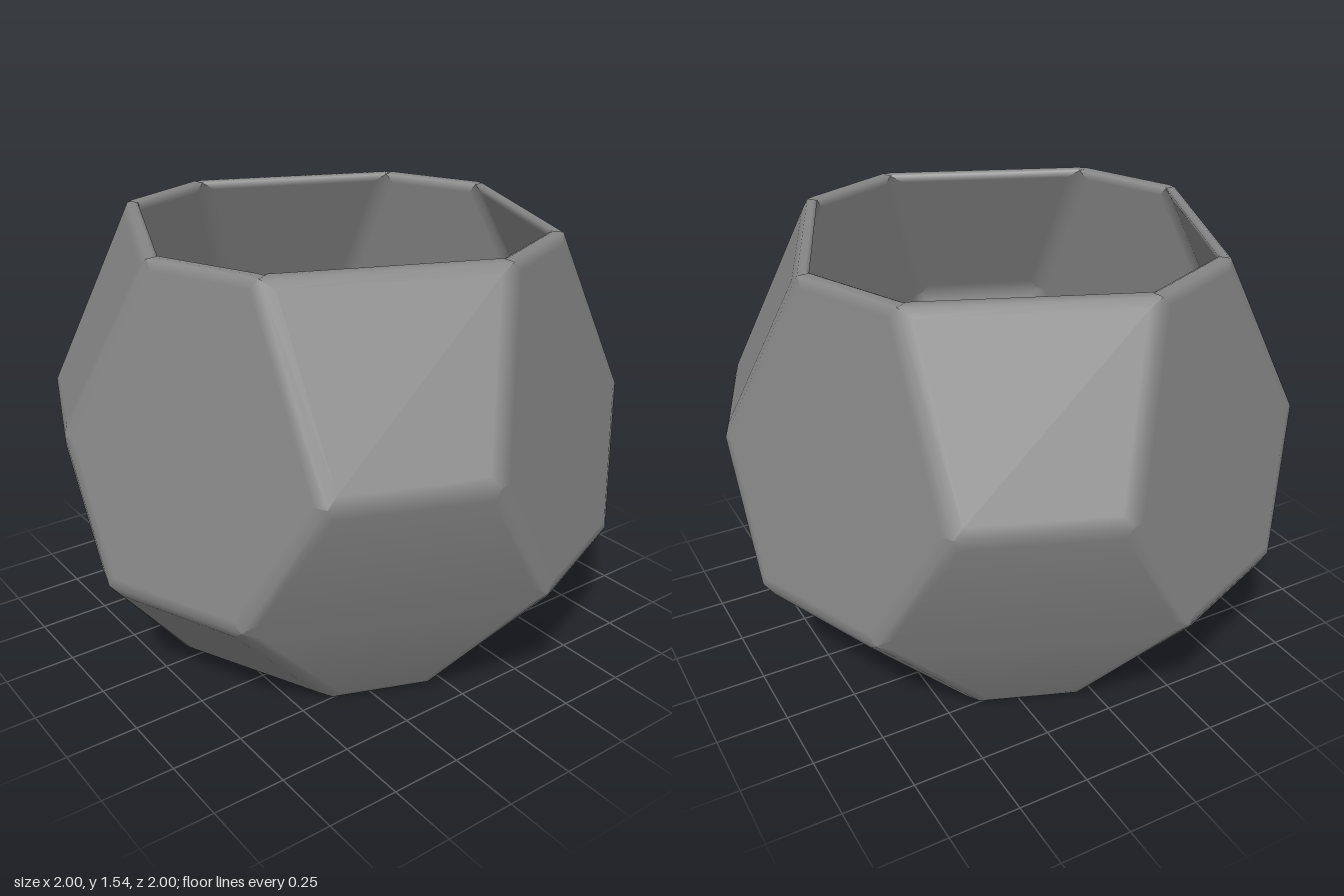
import * as THREE from 'three';

const WALL = 0.94;   // inner radius relative to the outer one, at the rim
const WALL_LOW = 0.925; // the same at the base
const FLOOR = 0.045; // floor thickness
const HEIGHT = 1.54;
const SOFT = 0.04;   // width of the softened edges
const BEND = 0.95;   // facets meeting flatter than this cosine shade as one

// One quarter of the faceted shell: corners from rim to base
const QUARTER = [
  [-0.62, HEIGHT, 0.475], [0.1, HEIGHT, 0.78],  // 0, 1 rim
  [-0.62, 0.93, 0.81], [-0.12, 0.93, 1.005],    // 2, 3 upper belt
  [-0.81, 0.48, 0.61], [0.125, 0.48, 1.005],    // 4, 5 lower belt
  [-0.38, 0, 0.51], [-0.06, 0, 0.635],          // 6, 7 base
];

// Facets of one quarter; indices from 8 up belong to the next quarter
const FACETS = [
  [2, 3, 1, 0],           // upper four-sided facet
  [5, 12, 10, 8, 1, 3],   // large six-sided facet
  [4, 5, 3, 2],           // lower facet, upper part
  [6, 7, 5, 4],           // lower facet, bottom part
  [7, 14, 12, 5],         // base-side four-sided facet
];

function buildCorners() {
  const outer = [];
  for (let k = 0; k < 4; k++) {
    for (const [x, y, z] of QUARTER) {
      outer.push(new THREE.Vector3(x, y, z).applyAxisAngle(new THREE.Vector3(0, 1, 0), k * Math.PI / 2));
    }
  }
  const inner = outer.map((p) => {
    const t = p.y / HEIGHT;
    const s = THREE.MathUtils.lerp(WALL_LOW, WALL, t);
    return new THREE.Vector3(p.x * s, THREE.MathUtils.lerp(FLOOR, HEIGHT, t), p.z * s);
  });
  return [...outer, ...inner];
}

function buildFaces() {
  const shell = [], rim = [], base = [];
  for (let k = 0; k < 4; k++) {
    const at = (i) => (k * 8 + i) % 32;
    for (const f of FACETS) shell.push(f.map(at));
    for (const [a, b] of [[0, 1], [1, 8]]) rim.push([at(a), at(b), at(b) + 32, at(a) + 32]);
    base.push(at(6), at(7));
  }
  shell.push(base.reverse());
  const cavity = shell.map((f) => f.map((i) => i + 32).reverse());
  return [...shell, ...rim, ...cavity];
}

function faceNormal(pts) {
  const n = new THREE.Vector3();
  pts.forEach((p, i) => n.add(p.clone().cross(pts[(i + 1) % pts.length])));
  return n.normalize();
}

// Shrinks a convex polygon by a constant distance
function inset(pts) {
  const n = pts.length;
  const shortest = Math.min(...pts.map((p, i) => p.distanceTo(pts[(i + 1) % n])));
  const d = Math.min(SOFT, shortest * 0.3);
  return pts.map((p, i) => {
    const a = pts[(i + 1) % n].clone().sub(p).normalize();
    const b = pts[(i + n - 1) % n].clone().sub(p).normalize();
    const s = d / a.clone().cross(b).length();
    return p.clone().addScaledVector(a.add(b), s);
  });
}

// Facets with flat middles and softly shaded edge strips
function softFacets(corners, faces) {
  const polys = faces.map((f) => f.map((i) => corners[i]));
  const normals = polys.map(faceNormal);
  const insets = polys.map(inset);
  const key = (a, b) => Math.min(a, b) + '_' + Math.max(a, b);

  // Edge normals, and corners pulled slightly inward
  const edges = {};
  const pull = corners.map(() => ({ sum: new THREE.Vector3(), n: 0 }));
  faces.forEach((f, k) => f.forEach((v, i) => {
    const e = key(v, f[(i + 1) % f.length]);
    (edges[e] ??= new THREE.Vector3()).add(normals[k]);
    pull[v].sum.add(insets[k][i]);
    pull[v].n++;
  }));
  Object.values(edges).forEach((e) => e.normalize());
  const soft = corners.map((c, i) => c.clone().lerp(pull[i].sum.divideScalar(pull[i].n), 0.35));

  const pos = [], nor = [];
  const tri = (...pairs) => pairs.forEach(([p, n]) => {
    pos.push(p.x, p.y, p.z);
    nor.push(n.x, n.y, n.z);
  });
  faces.forEach((f, k) => {
    const q = insets[k], len = f.length;
    const around = f.map((v, i) => edges[key(v, f[(i + 1) % len])]);
    // Corners beside a shallow bend take its normal, so the bend shades smoothly
    const bent = (e) => 2 * e.dot(normals[k]) ** 2 - 1 > BEND;
    const n = f.map((v, i) => [around[i], around[(i + len - 1) % len]].find(bent) ?? normals[k]);
    for (let i = 1; i < len - 1; i++) tri([q[0], n[0]], [q[i], n[i]], [q[i + 1], n[i + 1]]);
    f.forEach((v, i) => {
      const j = (i + 1) % len, w = f[j], e = around[i];
      tri([soft[v], e], [soft[w], e], [q[j], n[j]]);
      tri([soft[v], e], [q[j], n[j]], [q[i], n[i]]);
    });
  });
  const geo = new THREE.BufferGeometry();
  geo.setAttribute('position', new THREE.Float32BufferAttribute(pos, 3));
  geo.setAttribute('normal', new THREE.Float32BufferAttribute(nor, 3));
  return geo;
}

export function createModel() {
  const group = new THREE.Group();
  group.name = 'facetedPlanter';
  const pot = new THREE.Mesh(
    softFacets(buildCorners(), buildFaces()),
    new THREE.MeshStandardMaterial({ color: 0x858585 }));
  pot.name = 'pot';
  group.add(pot);
  return group;
}
